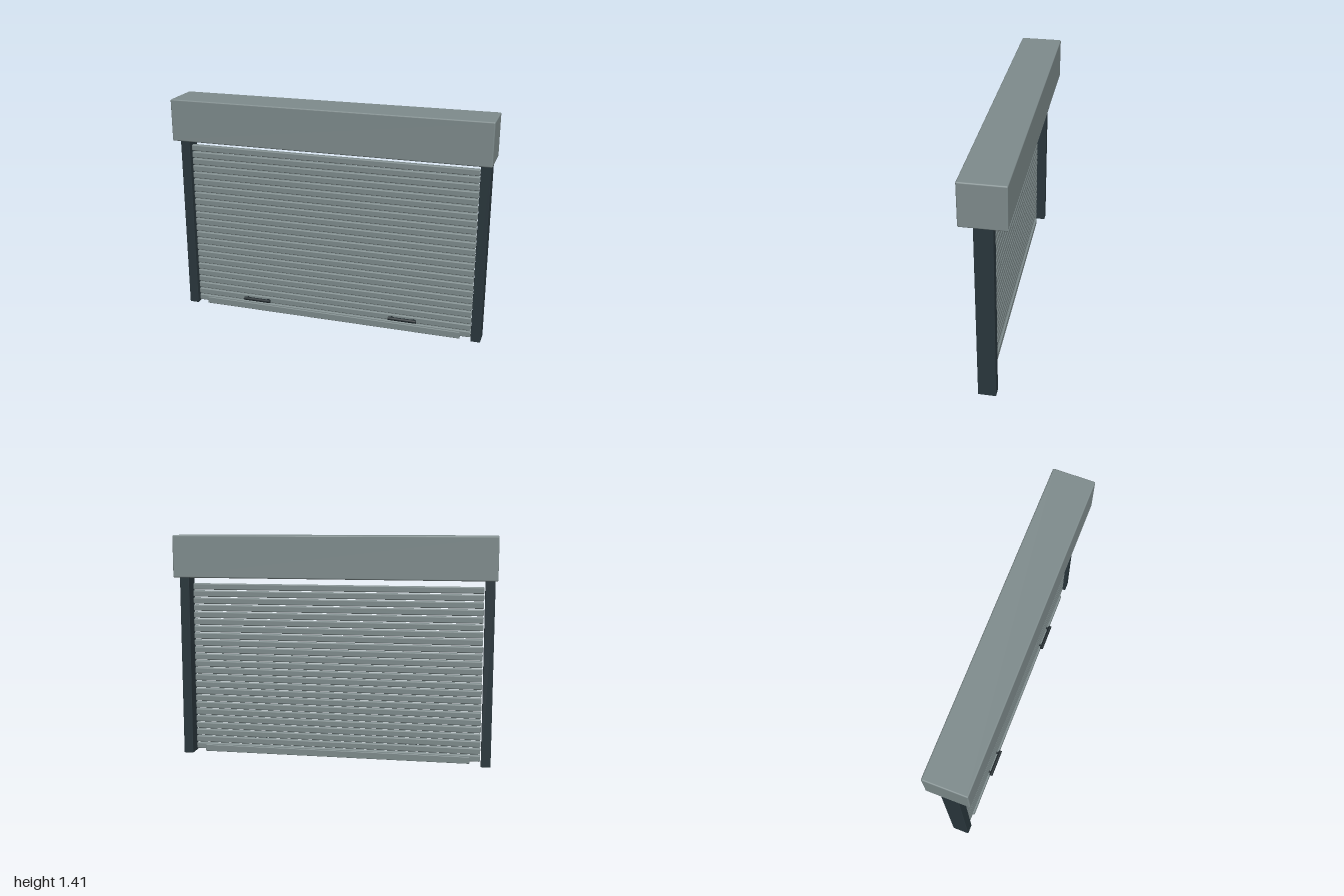
import * as THREE from 'three';
import { RoundedBoxGeometry } from 'three/addons/geometries/RoundedBoxGeometry.js';

export function createModel() {
  const model = new THREE.Group();
  model.name = 'rollerShutter';

  const makeMaterial = (name, color) => {
    const m = new THREE.MeshStandardMaterial({ color });
    m.name = name;
    return m;
  };
  const shutterGrey = makeMaterial('shutterGrey', 0x7f8c8d);
  const frameDark = makeMaterial('frameDark', 0x2a373d);
  const handleDark = makeMaterial('handleDark', 0x20292d);

  const add = (name, geometry, material, x, y, z) => {
    const mesh = new THREE.Mesh(geometry, material);
    mesh.name = name;
    mesh.position.set(x, y, z);
    model.add(mesh);
    return mesh;
  };

  // Housing for the rolled-up curtain
  add('housing', new RoundedBoxGeometry(2, 0.264, 0.264, 2, 0.008), shutterGrey, 0, 1.279, 0);

  // Curtain of separate slats, set slightly forward between the posts
  const curtainZ = 0.021;
  const slat = new RoundedBoxGeometry(1.84, 0.04, 0.03, 2, 0.007);
  for (let i = 0; i < 24; i++) {
    add('slat' + (i + 1), slat, shutterGrey, 0, 0.036 + i * 0.0455, curtainZ);
  }

  // Bottom rail
  add('bottomRail', new RoundedBoxGeometry(1.71, 0.044, 0.05, 2, 0.004), shutterGrey, 0, 0.025, curtainZ);

  // Side posts and lift handles, mirrored left and right
  const post = new RoundedBoxGeometry(0.06, 1.15, 0.106, 2, 0.003);
  const bar = new THREE.CylinderGeometry(0.011, 0.011, 0.18, 16).rotateZ(Math.PI / 2);
  const bracket = new THREE.BoxGeometry(0.012, 0.012, 0.026);
  for (const [side, s] of [['left', 1], ['right', -1]]) {
    add(side + 'Post', post, frameDark, s * 0.955, 0.575, 0);
    add(side + 'Handle', bar, handleDark, s * 0.49, 0.083, 0.058);
    for (const dx of [-0.07, 0.07]) {
      add(side + 'HandleBracket', bracket, handleDark, s * 0.49 + dx, 0.083, 0.045);
    }
  }

  return model;
}
